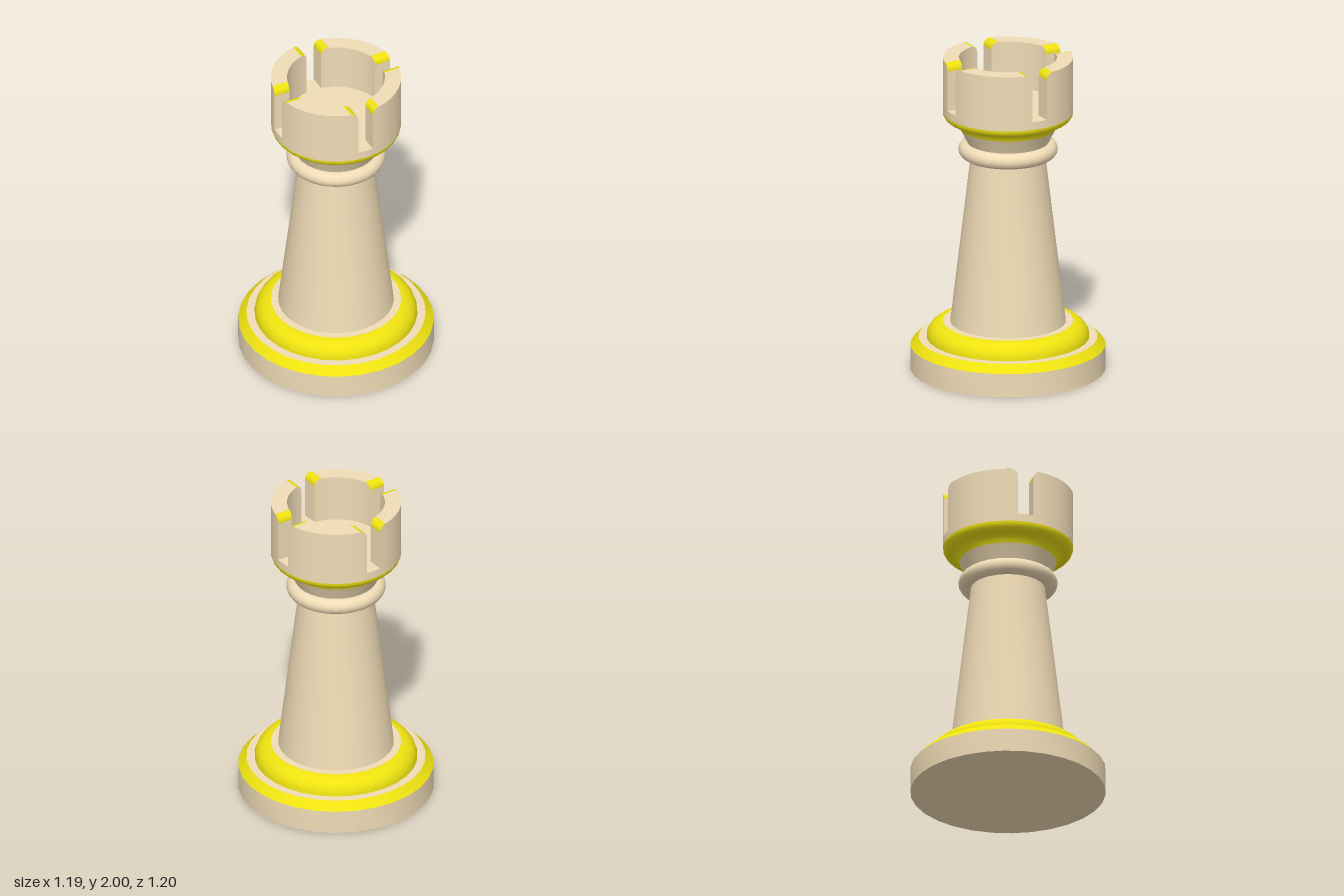
import * as THREE from 'three';
import { toCreasedNormals } from 'three/addons/utils/BufferGeometryUtils.js';
import { ParametricGeometry } from 'three/addons/geometries/ParametricGeometry.js';

const SIDES = 30;
const OUTER = 0.4, INNER = 0.3;          // crown wall radii
const FLOOR = 1.7, TOP = 2;              // crown floor and rim heights
const HALF_GAP = 0.05, ROUND = 0.045;    // slot half width, rounded slot edge

export function createModel() {
  const model = new THREE.Group();
  model.name = 'rook';
  const cream = new THREE.MeshStandardMaterial({ color: 0xf0dcb6 });
  const yellow = new THREE.MeshStandardMaterial({ color: 0xeee210 });

  function add(name, geometry, material, parent = model) {
    const mesh = new THREE.Mesh(geometry, material);
    mesh.name = name;
    parent.add(mesh);
    return mesh;
  }

  // Turned part from [radius, height] points, listed bottom to top
  function turned(name, points, material) {
    const lathe = new THREE.LatheGeometry(points.map(([r, y]) => new THREE.Vector2(r, y)), SIDES);
    return add(name, toCreasedNormals(lathe, 0.5), material);
  }

  // Quarter-arc profile points
  function arc(cx, cy, radius, from, to, steps = 8) {
    return Array.from({ length: steps + 1 }, (_, i) => {
      const a = from + (to - from) * i / steps;
      return [cx + radius * Math.cos(a), cy + radius * Math.sin(a)];
    });
  }

  // Stepped base
  turned('baseDisc', [[0, 0], [0.6, 0], [0.6, 0.15]], cream);
  turned('baseChamfer', [[0.6, 0.15], [0.55, 0.2]], yellow);
  turned('baseStep', [[0.55, 0.2], [0.5, 0.2]], cream);
  turned('baseCushion', arc(0.4, 0.2, 0.1, 0, Math.PI / 2), yellow);
  turned('cushionTop', [[0.4, 0.3], [0.355, 0.3]], cream);

  // Tapered column, collar ring and flared neck
  turned('column', [[0.355, 0.3], [0.225, 1.4]], cream);
  const collar = new THREE.TorusGeometry(0.255, 0.05, 16, SIDES);
  collar.rotateX(Math.PI / 2).rotateY(Math.PI / 2);
  add('collar', collar, cream).position.y = 1.41;
  turned('neck', [[0.235, 1.42], [0.252, 1.46], [0.297, 1.55]], cream);
  turned('neckFlare', [[0.297, 1.55], [0.305, 1.567], [0.316, 1.583], [0.331, 1.595], [0.35, 1.6],
    ...arc(0.35, 1.65, 0.05, -Math.PI / 2, 0).slice(1)], yellow);

  // Solid lower part of the crown
  turned('crownBowl', [[OUTER, 1.65], [OUTER, FLOOR], [0, FLOOR]], cream);

  // Slot edge: straight for v < 0.5, then rounded out to the rim
  function slotEdge(v) {
    const a = Math.max(0, v - 0.5) * Math.PI;
    const straight = Math.min(1, v * 2) * (TOP - ROUND - FLOOR);
    return { y: FLOOR + straight + ROUND * Math.sin(a), gap: HALF_GAP + ROUND * (1 - Math.cos(a)) };
  }

  // Point on a battlement: radius r, s runs 0..1 between its two slots, v runs floor to rim
  function battlementPoint(r, s, v, target) {
    const { y, gap } = slotEdge(v);
    const a = Math.asin(gap / r);
    const t = a + (Math.PI / 2 - 2 * a) * s;
    target.set(r * Math.cos(t), y, r * Math.sin(t));
  }

  const thick = OUTER - INNER;
  const face = (fn, slices, stacks) => new ParametricGeometry(fn, slices, stacks);
  const half = (v, upper) => v * 0.5 + (upper ? 0.5 : 0);
  const endA = upper => face((u, v, p) => battlementPoint(OUTER - thick * u, 0, half(v, upper), p), 1, 8);
  const endB = upper => face((u, v, p) => battlementPoint(INNER + thick * u, 1, half(v, upper), p), 1, 8);
  const outerWall = face((u, v, p) => battlementPoint(OUTER, 1 - u, v, p), 10, 16);
  const innerWall = face((u, v, p) => battlementPoint(INNER, u, v, p), 10, 16);
  const rim = face((u, v, p) => battlementPoint(INNER + thick * v, u, 1, p), 10, 1);
  const ends = [endA(false), endB(false)];
  const rounds = [endA(true), endB(true)];

  // Four battlements around the crown
  for (let i = 0; i < 4; i++) {
    const battlement = new THREE.Group();
    battlement.name = 'battlement';
    battlement.rotation.y = i * Math.PI / 2;
    add('outerWall', outerWall, cream, battlement);
    add('innerWall', innerWall, cream, battlement);
    add('rim', rim, cream, battlement);
    ends.forEach(g => add('slotSide', g, cream, battlement));
    rounds.forEach(g => add('slotRounding', g, yellow, battlement));
    model.add(battlement);
  }
  return model;
}
